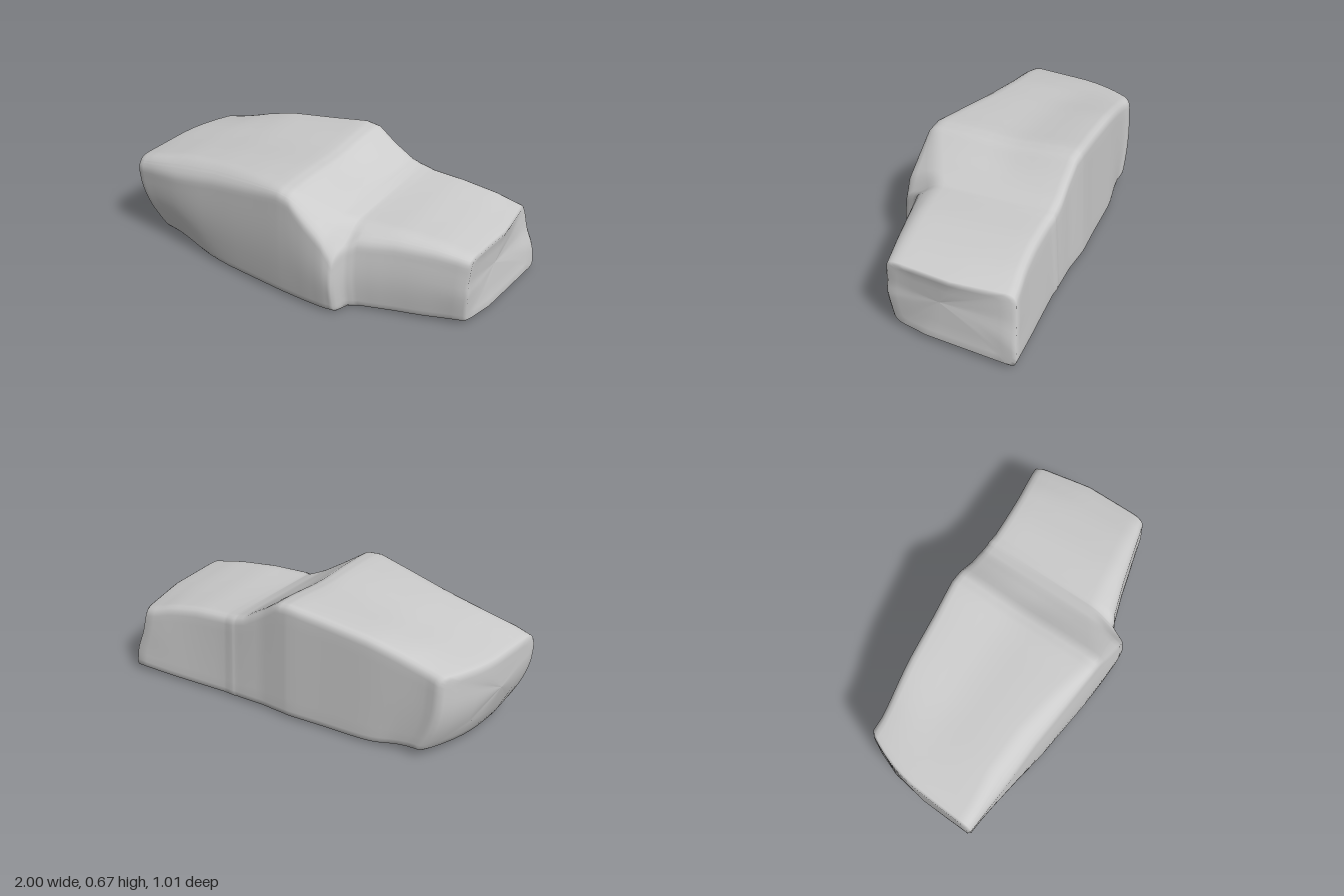
import * as THREE from 'three';

// stations along x: x, back z, front z, back top y, shoulder z, shoulder y, front top y
const STATIONS = [
  [-0.99, -0.315, 0.42, 0.51, 0.38, 0.49, 0.43],
  [-0.9, -0.315, 0.425, 0.53, 0.385, 0.515, 0.44],
  [-0.7, -0.335, 0.44, 0.575, 0.365, 0.56, 0.47],
  [-0.45, -0.36, 0.45, 0.62, 0.375, 0.595, 0.52],
  [-0.2, -0.385, 0.475, 0.65, 0.415, 0.62, 0.56],
  [0.0, -0.41, 0.495, 0.675, 0.455, 0.63, 0.595],
  [0.08, -0.41, 0.50, 0.665, 0.455, 0.62, 0.58],
  [0.18, -0.41, 0.505, 0.59, 0.40, 0.555, 0.50],
  [0.28, -0.42, 0.505, 0.525, 0.34, 0.495, 0.42],
  [0.34, -0.425, 0.495, 0.505, 0.30, 0.475, 0.32],
  [0.365, -0.43, 0.42, 0.50, 0.29, 0.465, 0.36],
  [0.42, -0.43, 0.385, 0.49, 0.28, 0.465, 0.40],
  [0.6, -0.455, 0.325, 0.475, 0.25, 0.465, 0.41],
  [0.8, -0.485, 0.27, 0.44, 0.21, 0.445, 0.405],
  [0.97, -0.51, 0.225, 0.395, 0.18, 0.41, 0.385],
];

const ease = (v) => THREE.MathUtils.smoothstep(v, 0, 1);

// five-cornered cross-section with rounded corners, as (z, y) points
function section([x, zb, zf, yb, zs, ys, yf]) {
  const left = ease((-0.35 - x) / 0.65);
  const inset = 0.02 + 0.02 * ease((x - 0.2) / 0.5);
  const bottom = 0.002 + 0.018 * x ** 4 + 0.02 * left;
  const corners = [
    [zb, bottom],
    [zf - 0.015 - 0.065 * left, bottom],
    [zf, yf],
    [zs, ys],
    [zb + inset, yb],
  ].map(([z, y]) => new THREE.Vector2(z, y));
  const towards = (a, b) => a.clone().lerp(b, Math.min(0.4, 0.05 / a.distanceTo(b)));
  const points = [];
  corners.forEach((c, i) => {
    const prev = corners[(i + 4) % 5], next = corners[(i + 1) % 5];
    const start = towards(c, prev), end = towards(c, next);
    points.push(...new THREE.QuadraticBezierCurve(start, c, end).getPoints(4));
    const nextStart = towards(next, c);
    // the front side swells a little
    const swell = i === 1 ? 0.012 : 0;
    for (let k = 1; k < 8; k++) {
      const p = end.clone().lerp(nextStart, k / 8);
      p.x += swell * Math.sin((Math.PI * k) / 8);
      points.push(p);
    }
  });
  return points;
}

// round the left end away towards its base and corners, and skew the right end
function bend(x, y, z) {
  const base = Math.max(0, 0.36 - y), back = Math.max(0, 0.08 - z);
  const cut = base ** 2 + 0.06 * (0.4 - z) + 0.7 * back ** 2 + 0.5 * Math.max(0, z - 0.2) * base;
  const topBack = Math.max(0, -0.15 - z) * Math.max(0, y - 0.15);
  const baseFront = Math.max(0, z) * Math.max(0, 0.2 - y);
  const flare = 0.02 * (Math.abs(y - 0.25) / 0.25 - 0.5) - 0.02 * z - 0.8 * topBack - 0.9 * baseFront;
  return x + cut * ease((-0.4 - x) / 0.6) + flare * ease((x - 0.7) / 0.27);
}

function rockGeometry() {
  // in-between stations, blended evenly
  const rows = [];
  for (let i = 0; i < STATIONS.length - 1; i++) {
    for (let k = 0; k < 3; k++) {
      rows.push(STATIONS[i].map((v, j) => THREE.MathUtils.lerp(v, STATIONS[i + 1][j], k / 3)));
    }
  }
  rows.push(STATIONS[STATIONS.length - 1]);

  const rings = rows.map((row) => ({ x: row[0], points: section(row) }));
  // shrinking rings close both ends
  const shrink = (ring, scale, dx) => {
    const centre = new THREE.Vector2();
    ring.points.forEach((p) => centre.addScaledVector(p, 1 / ring.points.length));
    return { x: ring.x + dx, points: ring.points.map((p) => centre.clone().lerp(p, scale)) };
  };
  const first = rings[0], last = rings[rings.length - 1];
  for (const s of [0.95, 0.8, 0.5, 0]) {
    rings.unshift(shrink(first, s, -0.012));
    rings.push(shrink(last, s, s > 0.9 ? 0.012 : 0.005));
  }

  const n = first.points.length, positions = [], index = [];
  rings.forEach(({ x, points }, i) => {
    points.forEach((p, j) => {
      // shallow hollow along the middle of the high top
      const dip = 0.016 * ease((p.y - 0.5) / 0.1) * Math.exp(-((p.x / 0.17) ** 2));
      positions.push(bend(x, p.y, p.x), p.y - dip, p.x);
      if (i === rings.length - 1) return;
      const a = i * n + j, b = i * n + ((j + 1) % n);
      index.push(a, a + n, b, b, a + n, b + n);
    });
  });
  const geometry = new THREE.BufferGeometry();
  geometry.setAttribute('position', new THREE.Float32BufferAttribute(positions, 3));
  geometry.setIndex(index);
  geometry.computeVertexNormals();
  return geometry;
}

export function createModel() {
  const group = new THREE.Group();
  group.name = 'boulder';
  const rock = new THREE.Mesh(rockGeometry(), new THREE.MeshStandardMaterial({ color: 0xcccccc }));
  rock.name = 'rock';
  group.add(rock);
  return group;
}
